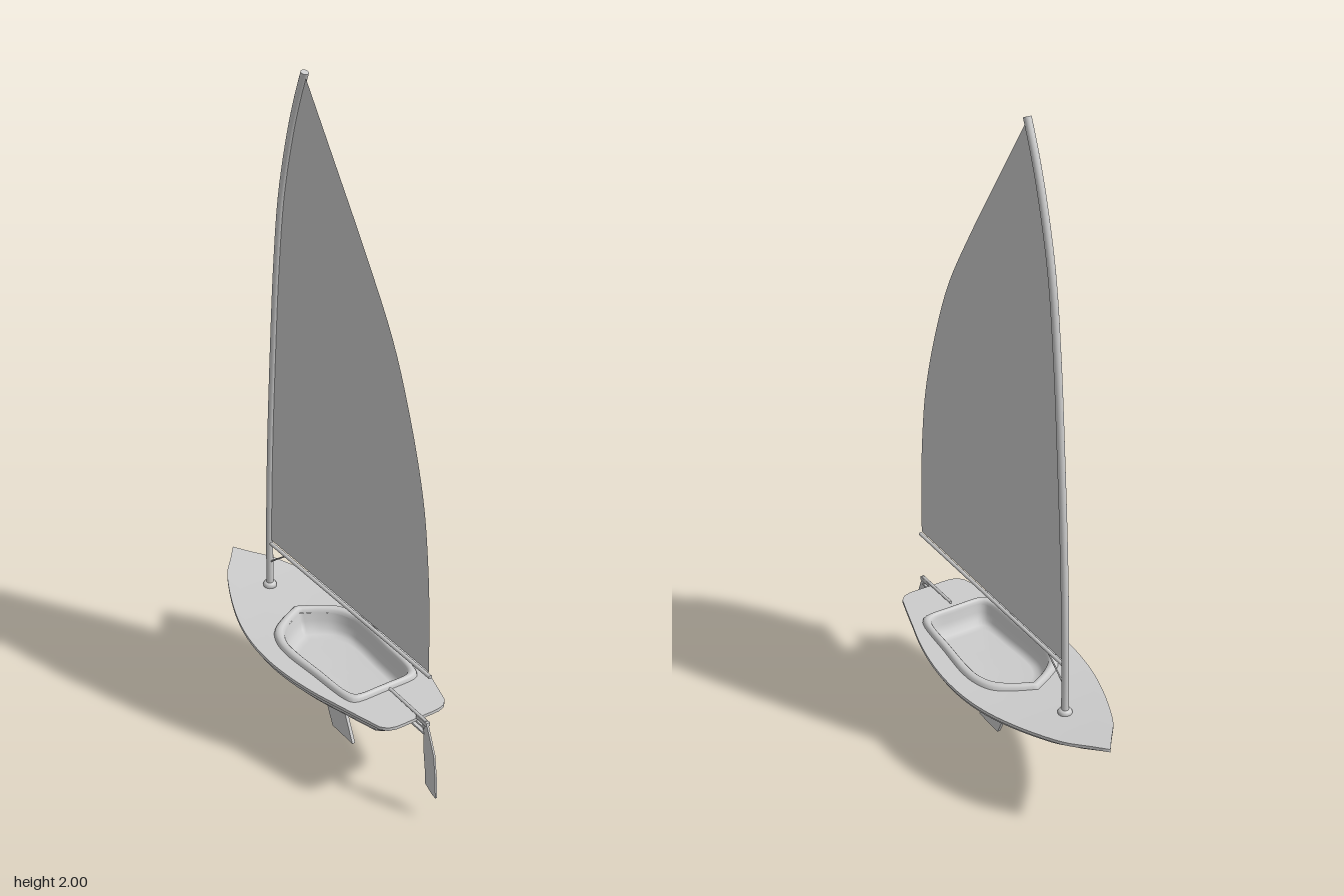
import * as THREE from 'three';

const mat = new THREE.MeshStandardMaterial({ color: 0xcccccc, side: THREE.DoubleSide });
const V = (x, y, z) => new THREE.Vector3(x, y, z);

function add(group, name, geometry) {
  const m = new THREE.Mesh(geometry, mat);
  m.name = name;
  group.add(m);
  return m;
}

// Closed plan outline from half a curve, [x, z] from bow to stern, mirrored to -x
function outline(half, n = 48) {
  const pts = new THREE.CatmullRomCurve3(half.map(([x, z]) => V(x, 0, z)), false, 'centripetal').getSpacedPoints(n);
  return [...pts, ...pts.slice(1, -1).reverse().map(p => V(-p.x, 0, p.z))];
}

// Skin a list of closed rings; faces point up when rings run from outside in
function loft(rings) {
  const n = rings[0].length, pos = [], idx = [];
  rings.forEach(r => r.forEach(p => pos.push(p.x, p.y, p.z)));
  for (let k = 0; k < rings.length - 1; k++) {
    for (let i = 0; i < n; i++) {
      const a = k * n + i, a1 = k * n + (i + 1) % n, b = a + n, b1 = a1 + n;
      idx.push(a, b, a1, a1, b, b1);
    }
  }
  const g = new THREE.BufferGeometry();
  g.setAttribute('position', new THREE.Float32BufferAttribute(pos, 3));
  g.setIndex(idx);
  g.computeVertexNormals();
  return g;
}

// Flat plate in the centre plane from a shape drawn with (z, y) coordinates
function plate(points, thickness) {
  const shape = new THREE.Shape(points.map(([z, y]) => new THREE.Vector2(z, y)));
  const g = new THREE.ExtrudeGeometry(shape, { depth: thickness, bevelEnabled: false });
  return g.translate(0, 0, -thickness / 2).rotateY(-Math.PI / 2);
}

// Straight round bar between two points
function bar(a, b, r, sides = 12) {
  const d = b.clone().sub(a);
  const g = new THREE.CylinderGeometry(r, r, d.length(), sides);
  g.applyQuaternion(new THREE.Quaternion().setFromUnitVectors(V(0, 1, 0), d.normalize()));
  const c = a.clone().add(b).multiplyScalar(0.5);
  return g.translate(c.x, c.y, c.z);
}

// Deck height: flat aft, sweeping up to the bow
const sheer = z => 0.3 + 0.033 * Math.pow(Math.max(0, (-z - 0.08) / 0.47), 1.7);
const lerp = THREE.MathUtils.lerp;
const between = (a, b, u, lift) => a.map((p, i) => {
  const q = p.clone().lerp(b[i], u);
  return q.setY(sheer(q.z) + lift);
});

function buildHull(group) {
  const edge = outline([[0, -0.55], [0.035, -0.505], [0.08, -0.45], [0.107, -0.4], [0.15, -0.3], [0.182, -0.2], [0.2, -0.1],
    [0.205, 0], [0.197, 0.1], [0.178, 0.2], [0.15, 0.3], [0.121, 0.4], [0.108, 0.437], [0.085, 0.452], [0, 0.455]]);
  const coamOuter = outline([[0, -0.185], [0.06, -0.155], [0.115, -0.115], [0.14, -0.06], [0.147, 0], [0.138, 0.12],
    [0.122, 0.28], [0.108, 0.302], [0, 0.308]]);
  const opening = outline([[0, -0.155], [0.05, -0.128], [0.092, -0.092], [0.115, -0.04], [0.118, 0.02], [0.111, 0.13],
    [0.1, 0.262], [0.085, 0.281], [0, 0.285]]);

  // Hull shell: [depth, width scale, bow z, stern z] from under the deck lip to the keel line
  const levels = [[0, 0.97, -0.53, 0.442], [0.25, 0.94, -0.5, 0.425], [0.5, 0.85, -0.455, 0.405],
    [0.75, 0.66, -0.41, 0.385], [0.93, 0.36, -0.37, 0.37], [1, 0, -0.35, 0.36]];
  const shell = levels.map(([t, s, bow, stern]) => edge.map(p => {
    const z = lerp(bow, stern, (p.z + 0.55) / 1.005);
    return V(p.x * s, lerp(sheer(p.z) - 0.012, 0.213, t), z);
  }));
  add(group, 'hull', loft(shell.slice().reverse()));

  // Deck lip: underside and edge
  const top = between(edge, edge, 0, 0), low = between(edge, edge, 0, -0.01);
  add(group, 'deckLip', loft([low, top]));
  add(group, 'deckLipUnderside', loft([shell[0], low]));

  add(group, 'deck', loft([0, 0.25, 0.5, 0.75, 1].map(u => between(edge, coamOuter, u, 0))));

  // Rounded coaming around the cockpit
  add(group, 'coaming', loft([[0, 0], [0.08, 0.008], [0.25, 0.013], [0.5, 0.015], [0.75, 0.013], [0.92, 0.008], [1, 0]]
    .map(([u, h]) => between(coamOuter, opening, u, h))));

  // Cockpit well
  add(group, 'cockpit', loft([[1, 0.3], [0.97, 0.275], [0.93, 0.252], [0.86, 0.24], [0.76, 0.236], [0, 0.235]]
    .map(([s, y]) => opening.map(p => V(p.x * s, y, 0.09 + (p.z - 0.09) * s)))));
}

function buildRig(group) {
  // Curved mast with a closed top and a collar at the deck
  const mastCurve = new THREE.CatmullRomCurve3([[-0.325, 0.3], [-0.321, 0.5], [-0.306, 0.8], [-0.283, 1.1], [-0.255, 1.4],
    [-0.224, 1.62], [-0.178, 1.8], [-0.14, 1.91], [-0.105, 1.993]].map(([z, y]) => V(0, y, z)));
  add(group, 'mast', new THREE.TubeGeometry(mastCurve, 60, 0.011, 16));
  const cap = add(group, 'mastCap', new THREE.CircleGeometry(0.011, 16));
  cap.position.copy(mastCurve.getPoint(1));
  cap.quaternion.setFromUnitVectors(V(0, 0, 1), mastCurve.getTangent(1));
  const collar = [[0, 0], [0.021, 0], [0.021, 0.012], [0.017, 0.018], [0.011, 0.02]].map(([x, y]) => new THREE.Vector2(x, y));
  add(group, 'mastCollar', new THREE.LatheGeometry(collar, 20)).position.set(0, 0.305, -0.325);

  // Sail: luff follows the mast, leech bows outward
  const leech = new THREE.SplineCurve([[0.497, 0.482], [0.492, 0.65], [0.478, 0.82], [0.449, 1.0], [0.387, 1.2], [0.3, 1.4],
    [0.17, 1.6], [0.035, 1.79], [-0.105, 1.985]].map(([z, y]) => new THREE.Vector2(z, y)));
  const luff = mastCurve.getPoints(60).filter(p => p.y > 0.482).map(p => new THREE.Vector2(p.z, p.y)).reverse().slice(1);
  const sail = new THREE.ShapeGeometry(new THREE.Shape([...leech.getPoints(40), ...luff, new THREE.Vector2(-0.321, 0.482)]));
  add(group, 'sail', sail.rotateY(-Math.PI / 2));

  add(group, 'boom', bar(V(0, 0.469, 0.505), V(0, 0.469, -0.32), 0.006));
  add(group, 'boomBrace', bar(V(0, 0.467, -0.23), V(0, 0.4, -0.32), 0.0025, 8));
}

function buildFoils(group) {
  add(group, 'centreboard', plate([[0.143, 0], [0.035, 0], [-0.072, 0.22], [0.042, 0.22]], 0.01));
  add(group, 'rudder', plate([[0.478, 0.305], [0.5, 0.305], [0.515, 0.27], [0.536, 0.22], [0.546, 0.15], [0.551, 0.08],
    [0.535, 0.083], [0.502, 0.1], [0.498, 0.15], [0.488, 0.22], [0.488, 0.265]], 0.006));
  // Head, tiller and hinge fittings
  add(group, 'rudderHead', new THREE.BoxGeometry(0.012, 0.012, 0.05)).position.set(0, 0.306, 0.478);
  add(group, 'tiller', bar(V(0, 0.311, 0.495), V(0, 0.315, 0.32), 0.005));
  for (const y of [0.27, 0.289]) {
    add(group, 'rudderHinge', new THREE.BoxGeometry(0.012, 0.006, 0.06)).position.set(0, y, 0.46);
  }
}

export function createModel() {
  const model = new THREE.Group();
  model.name = 'sailboat';
  for (const [name, build] of [['hullGroup', buildHull], ['rigGroup', buildRig], ['foilGroup', buildFoils]]) {
    const part = new THREE.Group();
    part.name = name;
    build(part);
    model.add(part);
  }
  return model;
}
